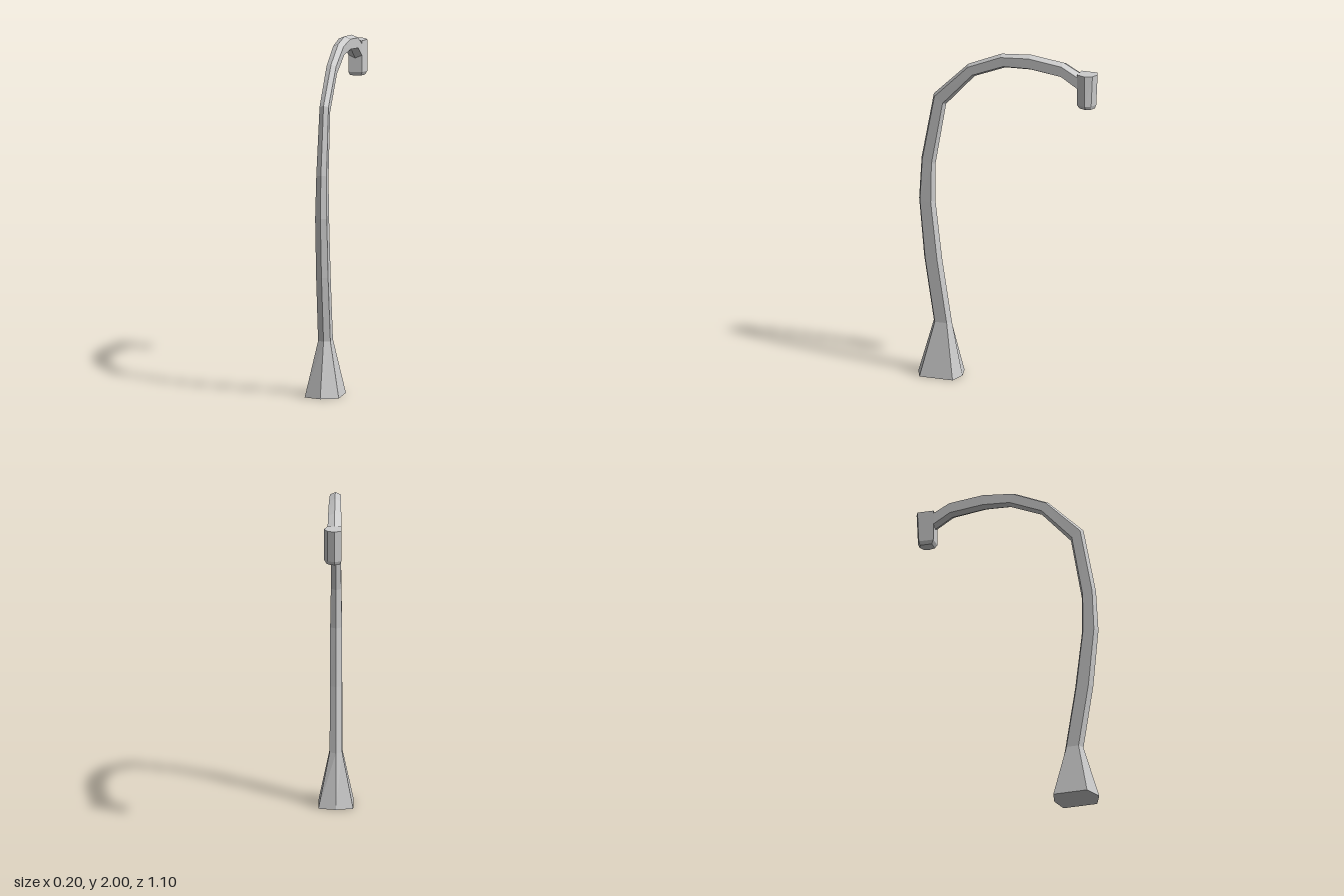
import * as THREE from 'three';

// Skin a list of equal-length rings and close both ends
function loft(rings) {
  const n = rings[0].length, pos = [];
  const tri = (a, b, c) => pos.push(...a, ...b, ...c);
  for (let i = 0; i < rings.length - 1; i++) {
    for (let j = 0; j < n; j++) {
      const k = (j + 1) % n, r = rings[i], s = rings[i + 1];
      tri(r[j], r[k], s[k]);
      tri(r[j], s[k], s[j]);
    }
  }
  const first = rings[0], last = rings[rings.length - 1];
  for (let j = 1; j < n - 1; j++) {
    tri(first[0], first[j + 1], first[j]);
    tri(last[0], last[j], last[j + 1]);
  }
  const geo = new THREE.BufferGeometry();
  geo.setAttribute('position', new THREE.Float32BufferAttribute(pos, 3));
  geo.computeVertexNormals();
  return geo;
}

// Six-sided section: outer ridge, inner ridge and a flat face on each side
function section([oz, oy, iz, iy, w, t = 0.17, u = 0.17]) {
  const at = (x, f) => [x, oy + (iy - oy) * f, oz + (iz - oz) * f];
  return [at(0, 0), at(w, t), at(w, 1 - u), at(0, 1), at(-w, 1 - u), at(-w, t)];
}

export function createModel() {
  const group = new THREE.Group();
  const material = new THREE.MeshStandardMaterial({ color: 0xcccccc, flatShading: true });
  const add = (name, rings) => {
    const mesh = new THREE.Mesh(loft(rings), material);
    mesh.name = name;
    group.add(mesh);
  };

  // Flared foot and curved pole: outer z, y, inner z, y, half width
  const stations = [
    [0.55, 0, 0.28, 0, 0.1, 0.16, 0.09],
    [0.455, 0.32, 0.345, 0.32, 0.036],
    [0.514, 0.7, 0.405, 0.7, 0.035],
    [0.545, 1.05, 0.445, 1.04, 0.034],
    [0.53, 1.3, 0.445, 1.27, 0.03],
    [0.455, 1.695, 0.38, 1.64, 0.026],
    [0.243, 1.9, 0.205, 1.83, 0.028],
    [0.04, 1.985, 0.016, 1.905, 0.031],
    [-0.14, 2.0, -0.14, 1.91, 0.035],
    [-0.34, 1.975, -0.335, 1.885, 0.038],
    [-0.44, 1.923, -0.44, 1.82, 0.04],
  ];
  add('curvedPole', stations.map(section));

  // Hanging lamp head, with a ridge on one side and a bevelled underside
  const outline = [[0.04, -0.435], [0.06, -0.49], [0.04, -0.53], [0, -0.547], [-0.04, -0.53], [-0.04, -0.435]];
  const ring = (y, s, back = 0) =>
    outline.map(([x, z]) => [x * s, y, -0.49 + (z + 0.49) * s + (z < -0.5 ? back : 0)]);
  add('lampHead', [ring(1.72, 0.78, 0.005), ring(1.742, 1, 0.008), ring(1.925, 1)]);

  return group;
}
